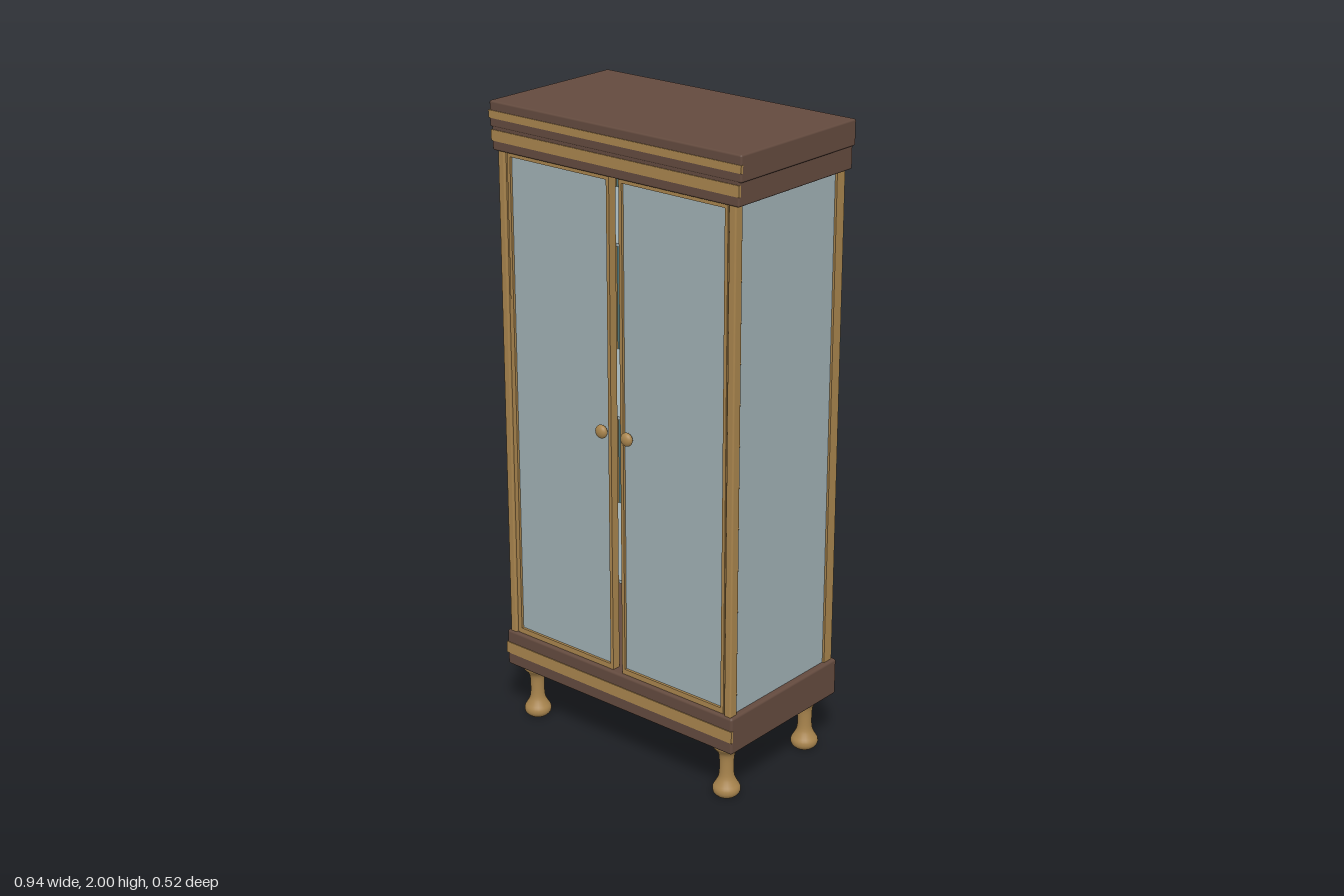
import * as THREE from 'three';
import { RoundedBoxGeometry } from 'three/addons/geometries/RoundedBoxGeometry.js';

const material = (name, color) => {
  const m = new THREE.MeshStandardMaterial({ color });
  m.name = name;
  return m;
};

export function createModel() {
  const wood = material('dark brown wood', 0x634a3e);
  const gold = material('golden wood', 0xa8844d);
  const glass = material('pale glass', 0x9fafb3);
  const teal = material('teal backing', 0x507679);

  const model = new THREE.Group();
  model.name = 'displayCabinet';

  const add = (parent, name, geometry, mat) => {
    const mesh = new THREE.Mesh(geometry, mat);
    mesh.name = name;
    parent.add(mesh);
    return mesh;
  };
  // Box given by its limits on each axis; a radius rounds its edges
  const box = (parent, name, mat, [x0, x1], [y0, y1], [z0, z1], radius = 0) => {
    const size = [x1 - x0, y1 - y0, z1 - z0];
    const geometry = radius ? new RoundedBoxGeometry(...size, 2, radius) : new THREE.BoxGeometry(...size);
    geometry.translate((x0 + x1) / 2, (y0 + y1) / 2, (z0 + z1) / 2);
    return add(parent, name, geometry, mat);
  };
  const mirrored = (s, a, b) => (s > 0 ? [a, b] : [-b, -a]);

  // Plinth and two-step cornice, with gold bands across the front
  box(model, 'plinth', wood, [-0.455, 0.455], [0.18, 0.3], [-0.26, 0.252], 0.008);
  box(model, 'corniceLower', wood, [-0.46, 0.46], [1.853, 1.93], [-0.26, 0.252], 0.006);
  box(model, 'corniceUpper', wood, [-0.468, 0.468], [1.922, 2], [-0.262, 0.253], 0.006);
  box(model, 'plinthBand', gold, [-0.456, 0.456], [0.221, 0.259], [0.246, 0.2545]);
  box(model, 'corniceLowerBand', gold, [-0.461, 0.461], [1.882, 1.915], [0.246, 0.2545]);
  box(model, 'corniceUpperBand', gold, [-0.469, 0.469], [1.949, 1.972], [0.247, 0.2555]);

  // Back panel
  box(model, 'backPanel', teal, [-0.442, 0.442], [0.29, 1.86], [-0.25, -0.238]);

  // Shelves seen through the gap between the doors
  for (const y of [0.58, 1.11, 1.64]) {
    box(model, 'shelf', glass, [-0.425, 0.425], [y - 0.005, y + 0.005], [-0.238, 0.2]);
  }

  // Turned leg profile: foot bulb, slim neck, flared top
  const legProfile = new THREE.SplineCurve([
    [0.03, 0], [0.041, 0.012], [0.042, 0.028], [0.033, 0.044], [0.024, 0.065],
    [0.022, 0.1], [0.024, 0.135], [0.032, 0.152], [0.044, 0.166], [0.046, 0.185],
  ].map(([r, y]) => new THREE.Vector2(r, y))).getPoints(28);
  legProfile.unshift(new THREE.Vector2(0, 0));
  const legGeometry = new THREE.LatheGeometry(legProfile, 24);

  for (const s of [1, -1]) {
    const side = s > 0 ? 'left' : 'right';

    // Side pane and corner posts
    box(model, side + 'SidePane', glass, mirrored(s, 0.425, 0.436), [0.29, 1.86], [-0.22, 0.22]);
    box(model, side + 'BackPost', gold, mirrored(s, 0.415, 0.443), [0.29, 1.86], [-0.248, -0.212]);
    box(model, side + 'FrontPost', gold, mirrored(s, 0.42, 0.445), [0.29, 1.86], [0.214, 0.246], 0.005);
    box(model, side + 'FrontPostBead', gold, mirrored(s, 0.412, 0.421), [0.29, 1.86], [0.214, 0.237]);

    // Door: four rails around a pane
    const door = new THREE.Group();
    door.name = side + 'Door';
    model.add(door);
    box(door, 'innerStile', gold, mirrored(s, 0.018, 0.029), [0.3, 1.85], [0.212, 0.24]);
    box(door, 'outerStile', gold, mirrored(s, 0.402, 0.413), [0.3, 1.85], [0.212, 0.24]);
    box(door, 'bottomRail', gold, mirrored(s, 0.029, 0.402), [0.3, 0.317], [0.212, 0.24]);
    box(door, 'topRail', gold, mirrored(s, 0.029, 0.402), [1.84, 1.855], [0.212, 0.24]);
    box(door, 'pane', glass, mirrored(s, 0.028, 0.403), [0.315, 1.842], [0.22, 0.232]);

    // Round knob on a short stem
    const knob = add(door, 'knob', new THREE.SphereGeometry(0.021, 24, 16), gold);
    knob.scale.z = 0.65;
    knob.position.set(s * 0.049, 1.076, 0.248);
    const stem = add(door, 'knobStem', new THREE.CylinderGeometry(0.009, 0.009, 0.02, 16), gold);
    stem.rotation.x = Math.PI / 2;
    stem.position.set(s * 0.049, 1.076, 0.237);

    // Legs
    for (const z of [0.19, -0.194]) {
      add(model, side + (z > 0 ? 'FrontLeg' : 'BackLeg'), legGeometry, gold).position.set(s * 0.388, 0, z);
    }
  }
  return model;
}
